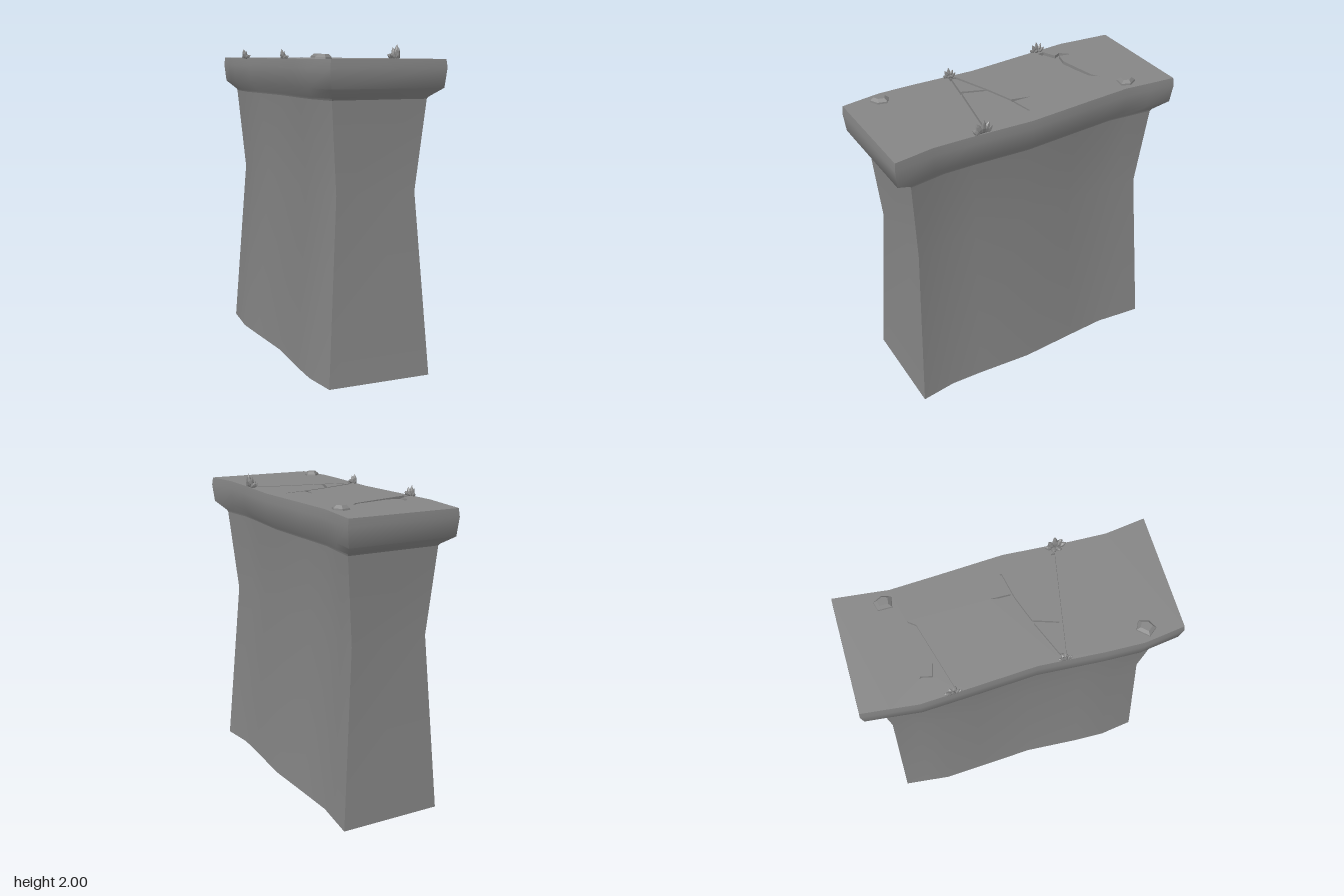
import * as THREE from 'three';
import { toCreasedNormals } from 'three/addons/utils/BufferGeometryUtils.js';

const stoneGrey = (extra = {}) => new THREE.MeshStandardMaterial({ color: 0x858585, ...extra });
const TOP = 1.91;

// sideways sway of the wall along its length: [z / half length, x offset]
const SWAY = [[1, 0.022], [0.74, -0.012], [0.5, -0.005], [0.08, 0.021], [-0.35, -0.002],
  [-0.65, -0.016], [-0.82, 0.003], [-1, 0.022]];

// plan outline at one height, as [x, z] pairs running up the left side and back down the right
function outline(hx, hz) {
  const sway = hx / 0.367;
  const side = (s) => SWAY.map(([t, o]) => [s * hx + o * sway, t * hz]);
  return [...side(1), ...side(-1).reverse()];
}

// skin between stacked outlines; rings are [y, half width, half length]
function loft(rings) {
  const pos = [];
  const rows = rings.map(([y, hx, hz]) => outline(hx, hz).map(([x, z]) => [x, y, z]));
  for (let i = 0; i < rows.length - 1; i++) {
    const n = rows[i].length;
    for (let j = 0; j < n; j++) {
      const a = rows[i][j], b = rows[i][(j + 1) % n];
      const c = rows[i + 1][(j + 1) % n], d = rows[i + 1][j];
      pos.push(...a, ...b, ...c, ...a, ...c, ...d);
    }
  }
  const g = new THREE.BufferGeometry();
  g.setAttribute('position', new THREE.Float32BufferAttribute(pos, 3));
  return toCreasedNormals(g, 1.1);
}

// horizontal face from [x, z] points, facing up
const points = (pts) => pts.map(([x, z]) => new THREE.Vector2(x, -z));
function flat(pts, y, holes = []) {
  const s = new THREE.Shape(points(pts));
  holes.forEach((h) => s.holes.push(new THREE.Path(points(h))));
  return new THREE.ShapeGeometry(s).rotateX(-Math.PI / 2).translate(0, y, 0);
}

// vertical walls of a groove
function grooveWalls(pts, y0, y1) {
  const pos = [];
  pts.forEach(([x, z], i) => {
    const [u, w] = pts[(i + 1) % pts.length];
    pos.push(x, y0, z, u, y0, w, u, y1, w, x, y0, z, u, y1, w, x, y1, z);
  });
  const g = new THREE.BufferGeometry();
  g.setAttribute('position', new THREE.Float32BufferAttribute(pos, 3));
  g.computeVertexNormals();
  return g;
}

const CRACK_A = [[-0.33, -0.45], [-0.25, -0.487], [-0.27, -0.53], [-0.23, -0.58], [-0.22, -0.575],
  [-0.235, -0.51], [-0.157, -0.49], [0.08, -0.54], [0.13, -0.57], [0.09, -0.52], [-0.33, -0.405]];
const CRACK_B = [[-0.32, 0.205], [-0.07, 0.11], [0.1, 0.055], [0.13, -0.07], [0.127, 0.05],
  [0.27, 0.025], [0.265, 0.037], [0.105, 0.068], [-0.065, 0.125], [-0.115, 0.272],
  [0.31, 0.352], [0.31, 0.375], [-0.32, 0.253]];
const ISLAND = [[-0.305, 0.219], [-0.085, 0.131], [-0.137, 0.27], [-0.305, 0.24]];

// pebble: chamfered irregular pentagon
function makePebble() {
  const ring = [[-0.042, -0.04], [0.015, -0.055], [0.045, 0.0], [0.025, 0.055], [-0.042, 0.045]];
  const levels = [[0, 1], [0.01, 0.96], [0.028, 0.6]];
  const pos = [];
  const at = (l, j) => {
    const [x, z] = ring[j % 5];
    return [x * levels[l][1], levels[l][0], z * levels[l][1]];
  };
  for (let j = 0; j < 5; j++) {
    for (let l = 0; l < 2; l++) {
      const a = at(l, j), b = at(l, j + 1), c = at(l + 1, j + 1), d = at(l + 1, j);
      pos.push(...a, ...c, ...b, ...a, ...d, ...c);
    }
    pos.push(0, 0.028, 0, ...at(2, j + 1), ...at(2, j));
  }
  const g = new THREE.BufferGeometry();
  g.setAttribute('position', new THREE.Float32BufferAttribute(pos, 3));
  g.computeVertexNormals();
  return g;
}

// tuft: broad pointed leaves fanned along z, plus two leaning over the top face
function makeTuft(inward, height, width) {
  const tuft = new THREE.Group();
  const blade = new THREE.LatheGeometry(
    [[0.05, 0], [0.17, 0.2], [0.21, 0.45], [0.13, 0.75], [0, 1]].map(([r, y]) => new THREE.Vector2(r, y)), 6);
  // [fan angle, inward lean, length]
  const leaves = [[0, -0.15, 1], [0.42, -0.05, 0.85], [-0.42, -0.05, 0.85], [0.95, 0.1, 0.62], [-0.95, 0.1, 0.62],
    [0.35, 0.95, 0.65], [-0.4, 1.0, 0.6]];
  for (const [fan, lean, length] of leaves) {
    const leaf = new THREE.Mesh(blade, stoneGrey({ flatShading: true }));
    leaf.name = 'leaf';
    leaf.scale.set(height * 0.8, height * length, height);
    leaf.rotation.set(fan, 0, -inward * lean);
    leaf.position.z = Math.sin(fan) * width * 0.16;
    tuft.add(leaf);
  }
  return tuft;
}

export function createModel() {
  const model = new THREE.Group();
  const add = (name, geometry, material = stoneGrey()) => {
    const mesh = new THREE.Mesh(geometry, material);
    mesh.name = name;
    model.add(mesh);
    return mesh;
  };

  // waisted wall and its underside
  add('wall', loft([[0, 0.331, 0.87], [1.13, 0.255, 0.803], [1.69, 0.305, 0.842]]));
  const base = outline(0.331, 0.87).map(([x, z]) => new THREE.Vector2(x, z));
  add('wallUnderside', new THREE.ShapeGeometry(new THREE.Shape(base)).rotateX(Math.PI / 2));

  // overhanging coping
  add('coping', loft([[1.675, 0.303, 0.838], [1.69, 0.308, 0.85], [1.745, 0.356, 0.945],
    [1.86, 0.368, 0.956], [TOP, 0.362, 0.951]]));
  add('copingTop', flat(outline(0.362, 0.951), TOP, [CRACK_A, CRACK_B]));
  add('crackIsland', flat(ISLAND, TOP));

  // cracks sunk into the top
  const floorY = TOP - 0.02;
  for (const crack of [CRACK_A, CRACK_B]) add('crackFloor', flat(crack, floorY));
  for (const edge of [CRACK_A, CRACK_B, ISLAND]) {
    add('crackWalls', grooveWalls(edge, floorY, TOP), stoneGrey({ side: THREE.DoubleSide }));
  }

  // loose pebbles
  for (const [x, z, turn] of [[0.275, -0.67, 0], [-0.285, 0.735, -0.75]]) {
    const pebble = add('pebble', makePebble(), stoneGrey({ flatShading: true }));
    pebble.position.set(x, TOP, z);
    pebble.rotation.y = turn;
  }

  // leaf tufts at the crack ends: x, z, height, width
  for (const [x, z, h, w] of [[0.35, 0.388, 0.093, 0.14], [-0.345, 0.238, 0.063, 0.09], [-0.367, -0.42, 0.066, 0.16]]) {
    const tuft = makeTuft(-Math.sign(x), h, w);
    tuft.name = 'leafTuft';
    tuft.position.set(x, TOP - 0.003, z);
    model.add(tuft);
  }
  return model;
}
